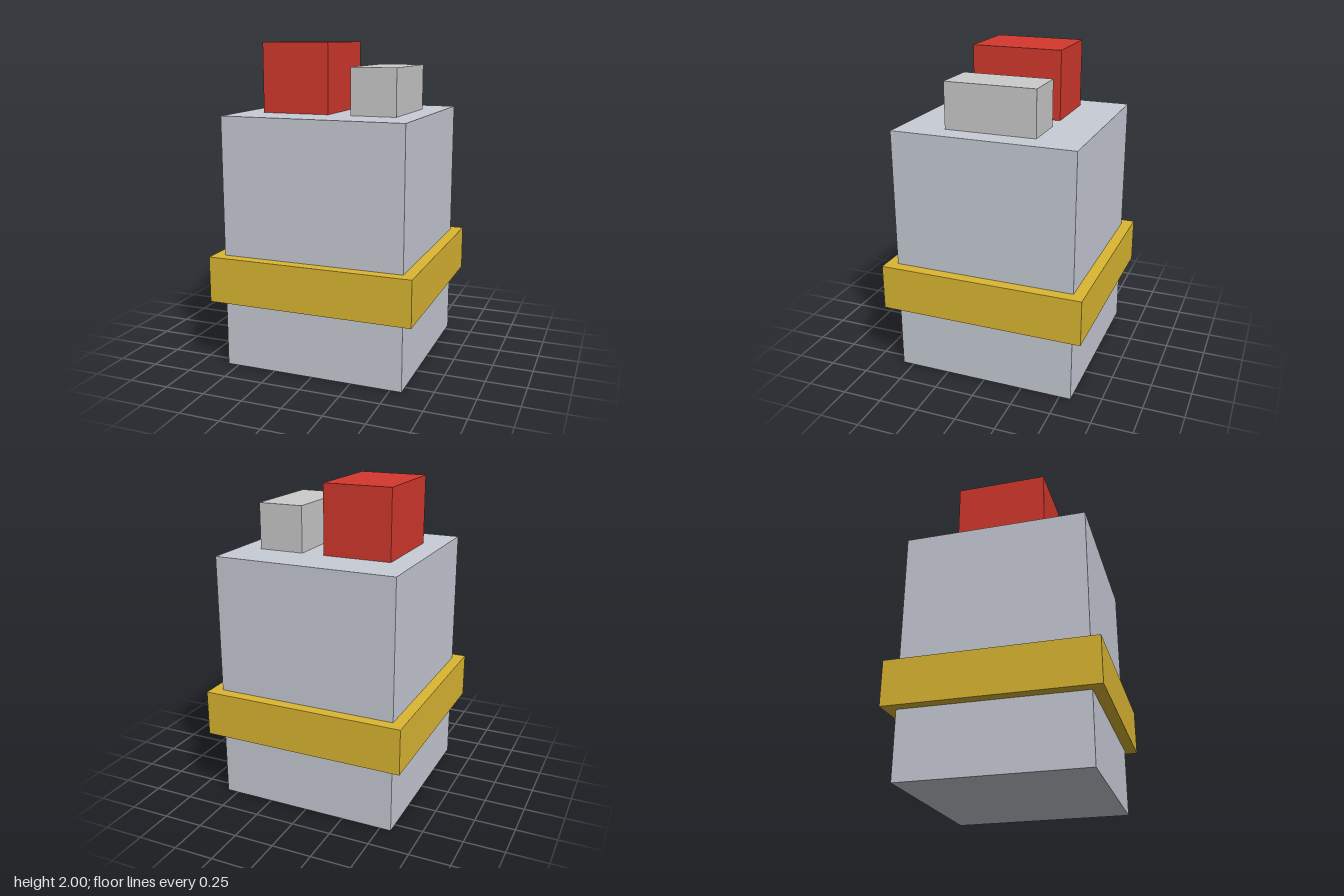
import * as THREE from 'three';

// One module step: the whole model is 14 steps tall.
const U = 1 / 7;

function block(name, color, [w, h, d], [x, bottom, z]) {
  const mesh = new THREE.Mesh(
    new THREE.BoxGeometry(w * U, h * U, d * U),
    new THREE.MeshStandardMaterial({ color })
  );
  mesh.name = name;
  mesh.position.set(x * U, (bottom + h / 2) * U, z * U);
  return mesh;
}

export function createModel() {
  const model = new THREE.Group();
  model.name = 'blockDevice';
  model.add(
    // main housing
    block('body', 0xc8ccd6, [8, 11, 8], [0, 0, 0]),
    // band wrapped around the housing
    block('band', 0xdcb732, [9, 2, 9], [0, 3, 0]),
    // tall red button and lower grey one on the top face
    block('redButton', 0xd4382d, [3, 3, 4], [-1.5, 11, 0]),
    block('greyButton', 0xcccccc, [2, 2, 4], [2, 11, 0])
  );
  return model;
}
